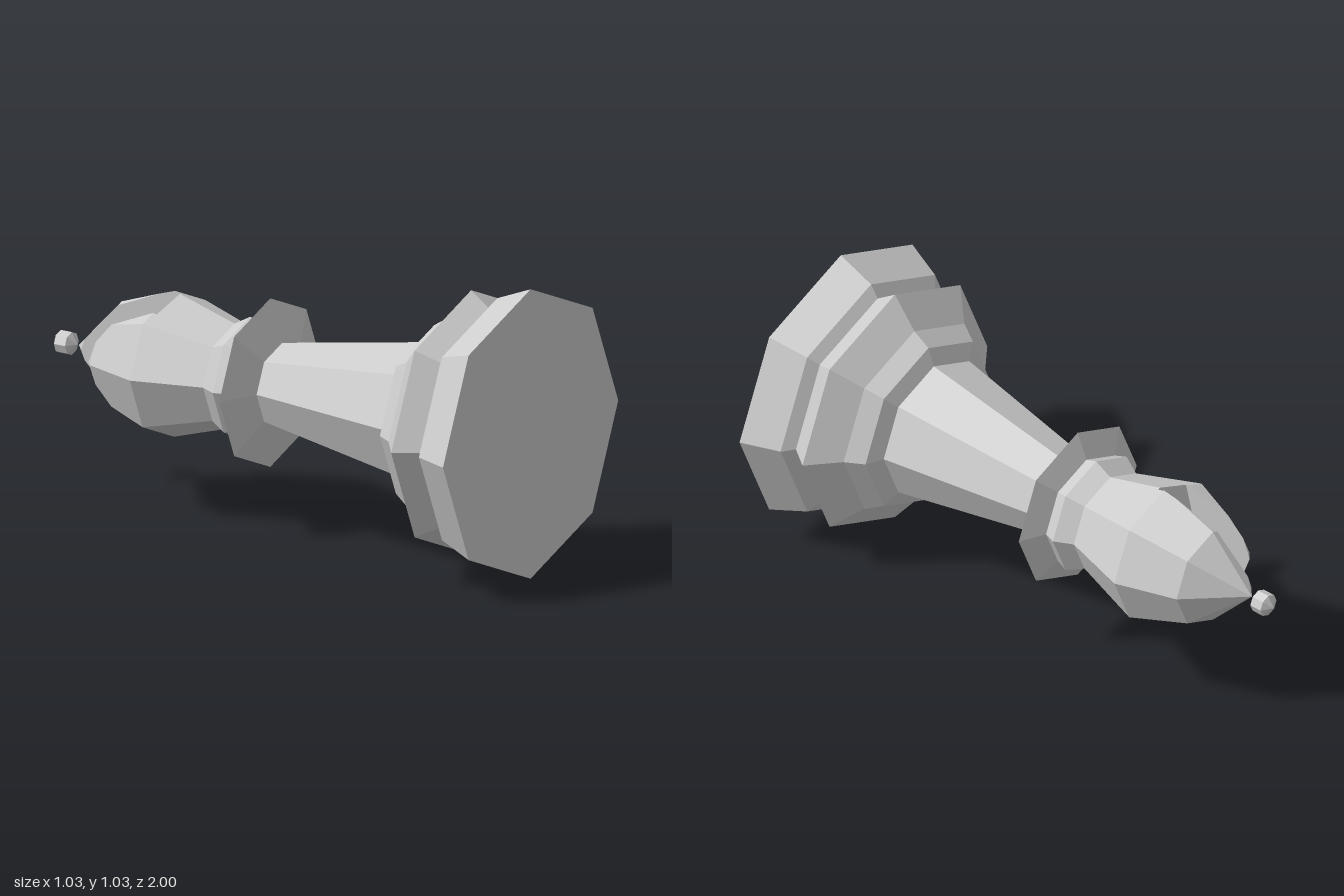
import * as THREE from 'three';

const SIDES = 8;
const material = new THREE.MeshStandardMaterial({ color: 0xcccccc, flatShading: true });

// Turned part from [radius, height] pairs
function turned(name, profile) {
  const points = profile.map(([r, h]) => new THREE.Vector2(r, h));
  const mesh = new THREE.Mesh(new THREE.LatheGeometry(points, SIDES), material);
  mesh.name = name;
  return mesh;
}

// Keeps the part of a convex polygon on the positive side of a plane
function clip(poly, plane) {
  const out = [];
  poly.forEach((a, i) => {
    const b = poly[(i + 1) % poly.length];
    const da = plane.distanceToPoint(a), db = plane.distanceToPoint(b);
    if (da >= 0) out.push(a);
    if (da * db < 0) out.push(a.clone().lerp(b, da / (da - db)));
  });
  return out;
}
const clipAll = (poly, planes) => planes.reduce(clip, poly);

function makePlane(x, y, z, c) {
  return new THREE.Plane(new THREE.Vector3(x, y, z), c).normalize();
}

// Large square on a plane, facing along its normal
function bigSquare(plane) {
  const n = plane.normal;
  const u = new THREE.Vector3(n.y, -n.x, 0).normalize();
  const v = n.clone().cross(u);
  const o = plane.coplanarPoint(new THREE.Vector3());
  return [[1, 1], [-1, 1], [-1, -1], [1, -1]].map(([a, b]) =>
    o.clone().addScaledVector(u, a * 5).addScaledVector(v, b * 5));
}

// Flat-faced geometry from convex polygons
function fromPolygons(polys) {
  const pos = [];
  for (const p of polys)
    for (let i = 1; i < p.length - 1; i++)
      for (const q of [p[0], p[i], p[i + 1]]) pos.push(q.x, q.y, q.z);
  const geometry = new THREE.BufferGeometry();
  geometry.setAttribute('position', new THREE.Float32BufferAttribute(pos, 3));
  geometry.computeVertexNormals();
  return geometry;
}

// Pointed head with a slanted slot cut through it
function slottedHead() {
  const rings = [[0.185, 1.245], [0.26, 1.5], [0.185, 1.72], [0, 1.9]];
  const at = ([r, h], i) => {
    const a = (i / SIDES) * Math.PI * 2;
    return new THREE.Vector3(r * Math.sin(a), h, r * Math.cos(a));
  };
  const faces = [];
  for (let k = 0; k < rings.length - 1; k++)
    for (let i = 0; i < SIDES; i++) {
      const face = [at(rings[k], i), at(rings[k], i + 1), at(rings[k + 1], i + 1)];
      if (rings[k + 1][0] > 0) face.push(at(rings[k + 1], i));
      faces.push(face);
    }
  const inside = faces.map(f => new THREE.Plane().setFromCoplanarPoints(f[0], f[1], f[2]).negate());

  // Slot limits: above the floor, between the two walls
  const above = makePlane(0, 1, 0.23, -1.533);
  const thin = makePlane(-1, -0.14, 0, 0.0872);
  const thick = makePlane(1, 0.128, 0, -0.1988);
  const below = above.clone().negate();
  const notThin = thin.clone().negate();
  const notThick = thick.clone().negate();

  // Outer skin around the slot
  const polys = faces.flatMap(f => [clip(f, below), clipAll(f, [above, thin]), clipAll(f, [above, thick])]);
  // Slot floor and walls
  polys.push(clipAll(bigSquare(above), [...inside, notThin, notThick]));
  polys.push(clipAll(bigSquare(notThin), [...inside, above]));
  polys.push(clipAll(bigSquare(notThick), [...inside, above]));

  const mesh = new THREE.Mesh(fromPolygons(polys.filter(p => p.length > 2)), material);
  mesh.name = 'slottedHead';
  return mesh;
}

export function createModel() {
  const piece = new THREE.Group();
  piece.name = 'bishop';

  piece.add(turned('base', [
    [0, 0], [0.515, 0], [0.46, 0.14], [0.415, 0.17], [0.47, 0.25],
    [0.36, 0.34], [0.32, 0.405], [0.255, 0.43],
  ]));
  piece.add(turned('stem', [[0.255, 0.43], [0.15, 1.045]]));
  piece.add(turned('collar', [
    [0.15, 1.045], [0.3, 1.095], [0.205, 1.135], [0.22, 1.18], [0.185, 1.245],
  ]));
  piece.add(slottedHead());

  // Small ball at the tip
  const ball = new THREE.Mesh(new THREE.SphereGeometry(0.047, SIDES, 3), material);
  ball.name = 'finial';
  ball.position.y = 1.953;
  piece.add(ball);

  // Lay the piece down with its base facing the front
  piece.rotation.x = -Math.PI / 2;
  piece.position.set(0, 0.515, 1);

  const model = new THREE.Group();
  model.name = 'lyingChessPiece';
  model.add(piece);
  return model;
}
